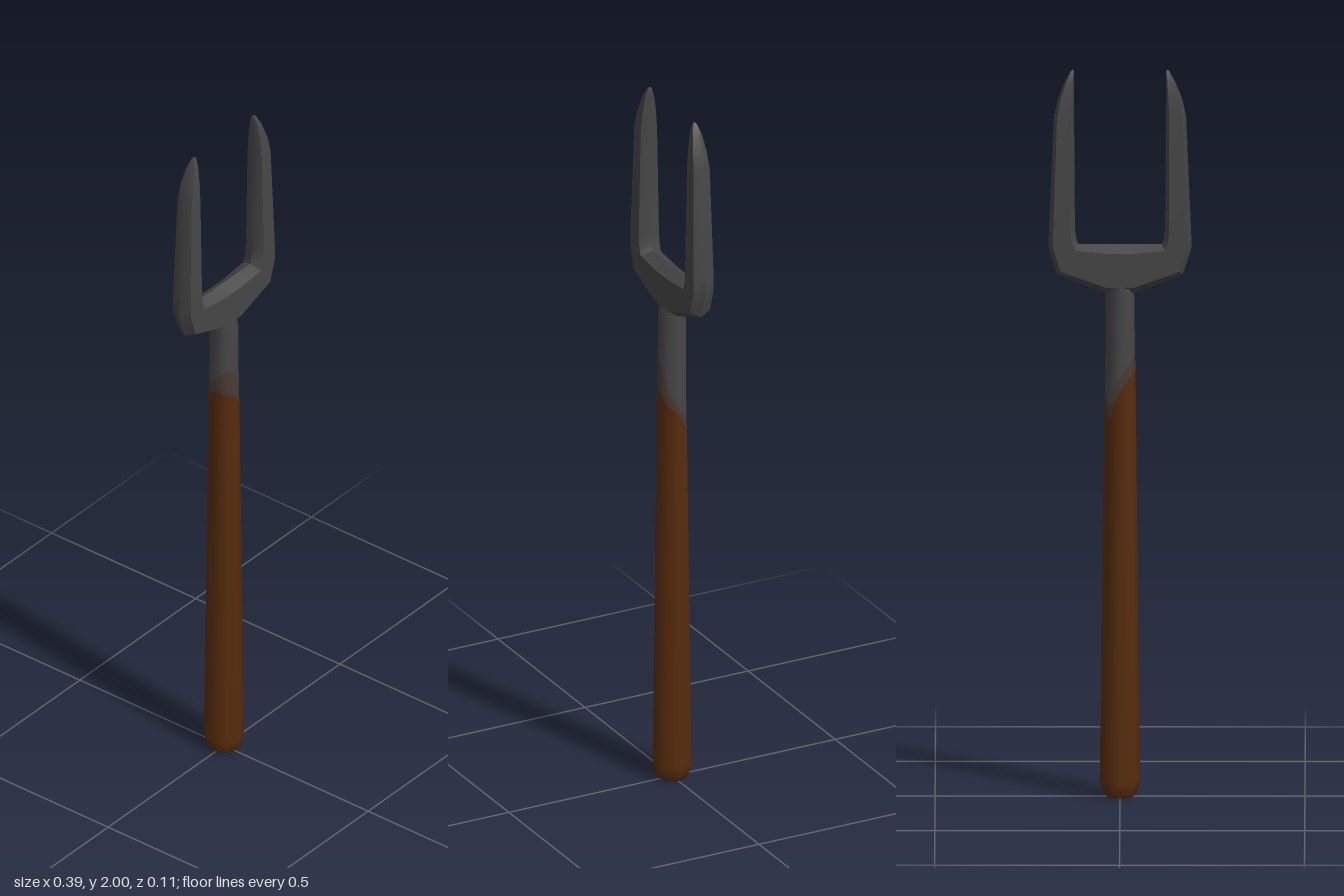
import * as THREE from 'three';
import { toCreasedNormals } from 'three/addons/utils/BufferGeometryUtils.js';

// Joins rings of points into a skin; bandMaterial(i) gives the material slot of band i.
function loft(rings, bandMaterial = () => 0) {
  const n = rings[0].length;
  const index = [];
  const geometry = new THREE.BufferGeometry();
  for (let i = 0; i < rings.length - 1; i++) {
    geometry.addGroup(index.length, n * 6, bandMaterial(i));
    for (let j = 0; j < n; j++) {
      const a = i * n + j, b = i * n + (j + 1) % n;
      index.push(a, b, b + n, a, b + n, a + n);
    }
  }
  geometry.setAttribute('position', new THREE.Float32BufferAttribute(rings.flat(2), 3));
  geometry.setIndex(index);
  geometry.computeVertexNormals();
  return geometry;
}

// Eight-sided ring around the shaft; height may differ at each corner.
function shaftRing(radius, height) {
  return Array.from({ length: 8 }, (_, j) => {
    const a = j * Math.PI / 4;
    const y = Array.isArray(height) ? height[j] : height;
    return [radius * Math.sin(a), y, radius * Math.cos(a)];
  });
}

// Six-sided bevelled section between an inner and an outer edge point.
function forkRing([px, py, qx, qy, d]) {
  const at = (t, z) => [px + (qx - px) * t, py + (qy - py) * t, z];
  return [at(0, 0), at(0.16, d), at(0.84, d), at(1, 0), at(0.84, -d), at(0.16, -d)];
}

export function createModel() {
  const wood = new THREE.MeshStandardMaterial({ name: 'brown wood', color: 0x572c0c });
  const worn = new THREE.MeshStandardMaterial({ name: 'worn brown grey', color: 0x4b3c34 });
  const metal = new THREE.MeshStandardMaterial({ name: 'dark iron', color: 0x464646 });
  const model = new THREE.Group();
  model.name = 'twoTinedFork';

  // Shaft: wooden grip with an uneven, worn change to the iron socket
  const woodEnd = [1.16, 1.12, 1.09, 1.04, 1.12, 1.16, 1.18, 1.18];
  const wornEnd = [1.25, 1.17, 1.11, 1.08, 1.16, 1.2, 1.22, 1.25];
  const shaftRings = [
    shaftRing(0, 0), shaftRing(0.036, 0), shaftRing(0.047, 0.012), shaftRing(0.055, 0.045),
    shaftRing(0.049, 0.5), shaftRing(0.042, woodEnd), shaftRing(0.0405, wornEnd),
    shaftRing(0.039, 1.375), shaftRing(0.028, 1.44),
  ];
  const shaft = new THREE.Mesh(
    loft(shaftRings, (i) => (i < 5 ? 0 : i === 5 ? 1 : 2)), [wood, worn, metal]);
  shaft.name = 'shaft';
  model.add(shaft);

  // Fork head: inner x, inner y, outer x, outer y, half depth, from centre to tip
  const half = [
    [0.035, 1.52, 0.035, 1.382, 0.031],
    [0.112, 1.52, 0.17, 1.435, 0.031],
    [0.117, 1.528, 0.194, 1.512, 0.031],
    [0.122, 1.56, 0.192, 1.56, 0.031],
    [0.124, 1.87, 0.179, 1.87, 0.025],
    [0.124, 1.92, 0.168, 1.92, 0.021],
    [0.124, 1.97, 0.15, 1.965, 0.014],
    [0.124, 1.995, 0.134, 1.995, 0.005],
    [0.128, 2, 0.128, 2, 0],
  ];
  const mirrored = half.map(([px, py, qx, qy, d]) => [-px, py, -qx, qy, d]).reverse();
  const headGeometry = toCreasedNormals(loft([...mirrored, ...half].map(forkRing)), 0.7);
  headGeometry.clearGroups();
  const head = new THREE.Mesh(headGeometry, metal);
  head.name = 'forkHead';
  model.add(head);

  return model;
}
